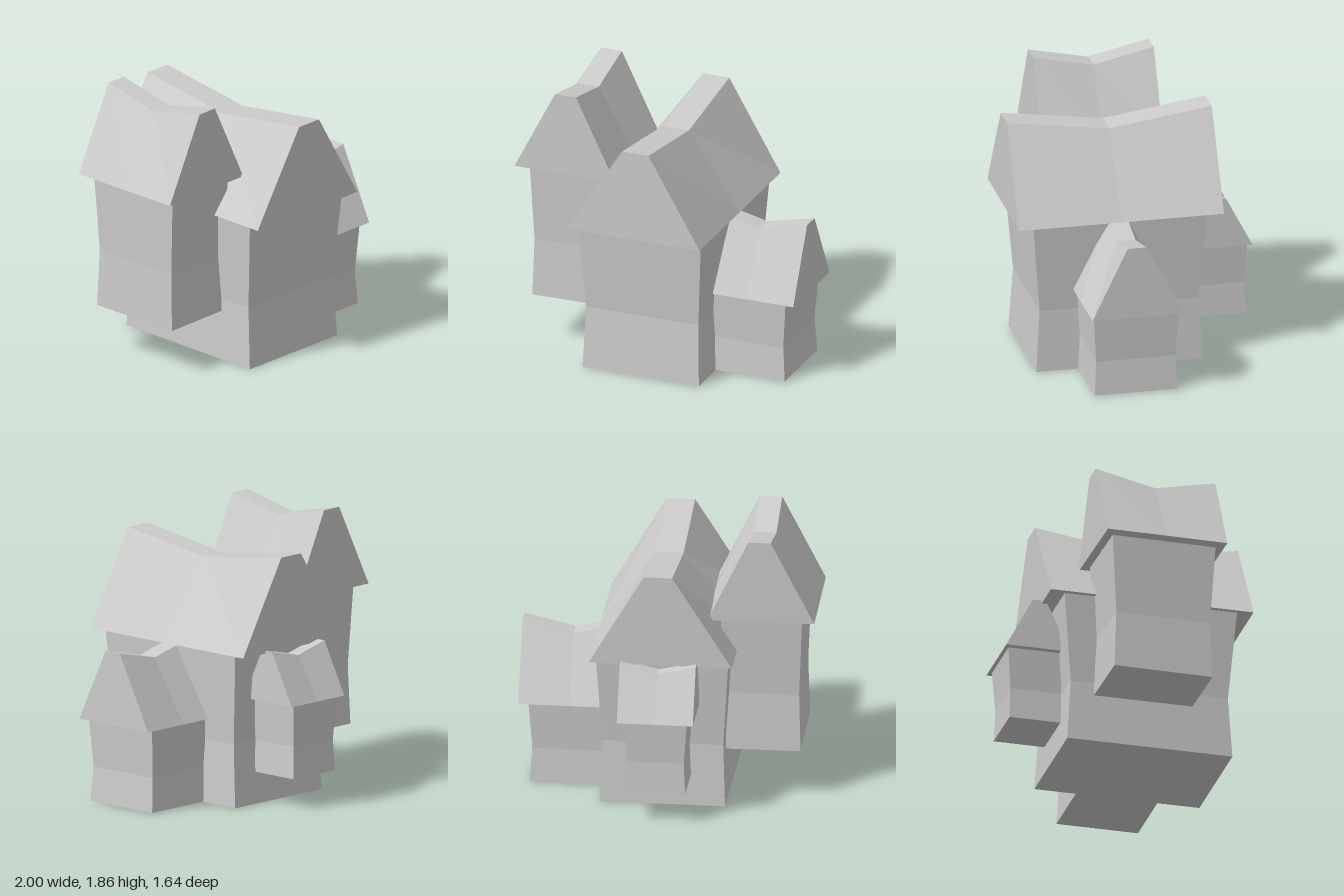
import * as THREE from 'three';

const material = new THREE.MeshStandardMaterial({ color: 0xcccccc, flatShading: true });

// Closed solid through a stack of four-cornered rings (counter-clockwise about the stacking axis)
function loft(rings, name) {
  const pos = [];
  const quad = (a, b, c, d) => pos.push(...a, ...b, ...c, ...a, ...c, ...d);
  for (let i = 0; i < rings.length - 1; i++) {
    for (let j = 0; j < 4; j++) {
      const k = (j + 1) % 4;
      quad(rings[i][j], rings[i][k], rings[i + 1][k], rings[i + 1][j]);
    }
  }
  const first = rings[0], last = rings[rings.length - 1];
  quad(first[3], first[2], first[1], first[0]);
  quad(...last);
  const geometry = new THREE.BufferGeometry();
  geometry.setAttribute('position', new THREE.Float32BufferAttribute(pos, 3));
  geometry.computeVertexNormals();
  const mesh = new THREE.Mesh(geometry, material);
  mesh.name = name;
  return mesh;
}

// Crooked house, ridge along local z; walls: [y, halfWidth, halfLength] from base to eave
function house({ name, at, turn, walls, roof }) {
  const group = new THREE.Group();
  group.name = name;

  // Pinched walls
  group.add(loft(walls.map(([y, w, l]) => [[w, y, l], [w, y, -l], [-w, y, -l], [-w, y, l]]), name + 'Walls'));

  // Sway-backed roof with a flat-topped ridge
  const { eave, half, length, ridge, shift, top, dip } = roof;
  const section = (z, y) => [[-half, eave, z], [half, eave, z], [shift + ridge, y, z], [shift - ridge, y, z]];
  group.add(loft([section(-length, top), section(0, dip), section(length, top)], name + 'Roof'));

  group.position.set(at[0], 0, at[1]);
  group.rotation.y = turn;
  return group;
}

const HOUSES = [
  {
    name: 'mainHouse', at: [0.005, 0.12], turn: 0,
    walls: [[0, 0.42, 0.57], [0.43, 0.405, 0.543], [1.05, 0.445, 0.595]],
    roof: { eave: 1.05, half: 0.48, length: 0.7, ridge: 0.095, shift: 0.015, top: 1.68, dip: 1.58 },
  },
  {
    name: 'leftAnnex', at: [0.66, 0.12], turn: Math.PI / 2,
    walls: [[0.004, 0.282, 0.265], [0.24, 0.27, 0.25], [0.57, 0.29, 0.274]],
    roof: { eave: 0.57, half: 0.315, length: 0.34, ridge: 0.065, shift: -0.01, top: 1.07, dip: 0.99 },
  },
  {
    name: 'rightTower', at: [-0.634, 0.08], turn: 0.017,
    walls: [[0.34, 0.26, 0.34], [0.74, 0.25, 0.325], [1.29, 0.272, 0.357]],
    roof: { eave: 1.29, half: 0.359, length: 0.414, ridge: 0.075, shift: 0.007, top: 1.86, dip: 1.77 },
  },
  {
    name: 'backBay', at: [0.015, -0.605], turn: Math.PI / 2,
    walls: [[0.215, 0.183, 0.2], [0.43, 0.174, 0.19], [0.72, 0.192, 0.212]],
    roof: { eave: 0.72, half: 0.218, length: 0.255, ridge: 0.046, shift: -0.01, top: 1.07, dip: 1.01 },
  },
];

export function createModel() {
  const model = new THREE.Group();
  model.name = 'crookedHouses';
  for (const spec of HOUSES) model.add(house(spec));
  return model;
}
